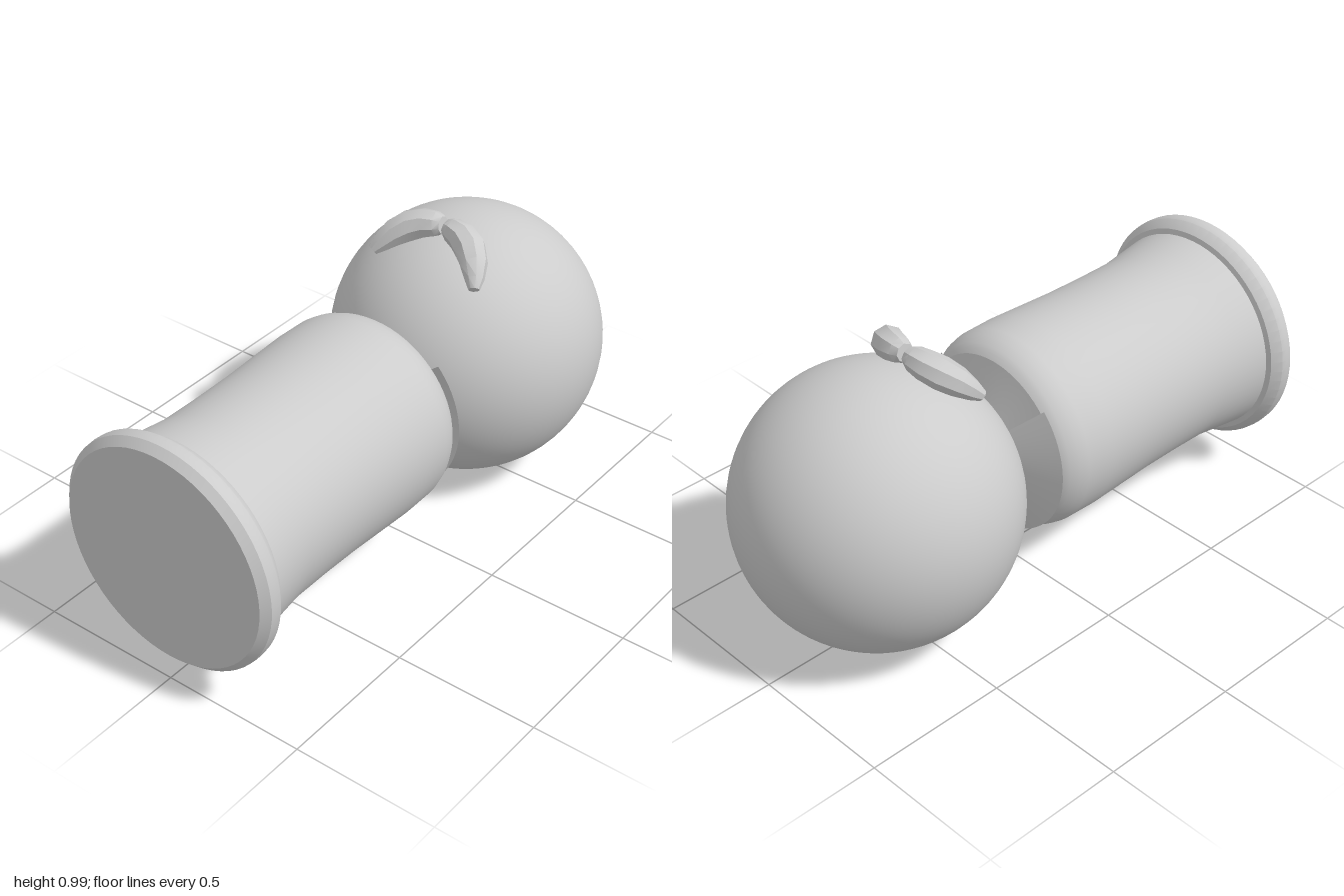
import * as THREE from 'three';
import { toCreasedNormals } from 'three/addons/utils/BufferGeometryUtils.js';

const AXIS_Y = 0.47;

export function createModel() {
  const model = new THREE.Group();
  model.name = 'lyingDoll';
  const grey = new THREE.MeshStandardMaterial({ color: 0xcccccc, side: THREE.DoubleSide });
  grey.name = 'plain grey';

  const add = (name, geometry) => {
    const mesh = new THREE.Mesh(geometry, grey);
    mesh.name = name;
    model.add(mesh);
    return mesh;
  };

  // Turned part along z from [radius, z] pairs; angle 0 is underneath
  const turned = (name, profile, start = 0, sweep = Math.PI * 2) => {
    const points = profile.map(([r, z]) => new THREE.Vector2(r, z));
    const geometry = new THREE.LatheGeometry(points, 64, start, sweep);
    geometry.rotateX(Math.PI / 2);
    geometry.translate(0, AXIS_Y, 0);
    return add(name, toCreasedNormals(geometry, 0.6));
  };

  // Head
  const head = new THREE.SphereGeometry(0.465, 64, 40);
  head.translate(0, AXIS_Y - 0.002, -0.535);
  add('head', head);

  // Neck, body and base rim
  turned('neck', [[0.08, -0.1], [0.11, -0.087], [0.295, -0.037]]);
  turned('body', [
    [0.295, -0.037], [0.31, -0.025], [0.322, -0.01], [0.337, 0.02], [0.345, 0.055],
    [0.347, 0.16], [0.342, 0.28], [0.336, 0.42], [0.334, 0.56], [0.335, 0.72],
    [0.345, 0.8], [0.357, 0.9],
  ]);
  turned('baseRim', [
    [0.357, 0.9], [0.375, 0.905], [0.4, 0.935], [0.402, 0.955], [0.4, 0.975],
    [0.375, 1], [0, 1],
  ]);

  // Collar, open at the top
  turned('collar', [[0.165, -0.1], [0.323, -0.043]], -Math.PI * 0.74, Math.PI * 1.48);

  // Curved, tapering bow lobes
  for (const side of [1, -1]) {
    add(side > 0 ? 'leftBowLobe' : 'rightBowLobe', bowLobe(side));
  }
  return model;
}

// Eight-sided lobe swept through centres with a radius at each section
function bowLobe(side) {
  const sections = [
    [0.008, 0.956, -0.395, 0.03],
    [0.03, 0.953, -0.393, 0.042],
    [0.075, 0.945, -0.385, 0.05],
    [0.12, 0.929, -0.365, 0.054],
    [0.16, 0.902, -0.332, 0.047],
    [0.188, 0.87, -0.298, 0.033],
    [0.203, 0.848, -0.275, 0.019],
  ];
  const sides = 8;
  const centres = sections.map(([x, y, z]) => new THREE.Vector3(x * side, y, z));
  const positions = [];
  const index = [];
  const outward = new THREE.Vector3(0, 0.9, 0.4).normalize();

  centres.forEach((centre, i) => {
    const before = centres[Math.max(i - 1, 0)];
    const after = centres[Math.min(i + 1, centres.length - 1)];
    const tangent = after.clone().sub(before).normalize();
    const u = outward.clone().addScaledVector(tangent, -outward.dot(tangent)).normalize();
    const v = tangent.clone().cross(u);
    for (let j = 0; j < sides; j++) {
      const a = ((j + 0.5) / sides) * Math.PI * 2;
      const p = centre.clone()
        .addScaledVector(u, Math.cos(a) * sections[i][3])
        .addScaledVector(v, Math.sin(a) * sections[i][3]);
      positions.push(p.x, p.y, p.z);
    }
  });

  // Side faces
  for (let i = 0; i < sections.length - 1; i++) {
    for (let j = 0; j < sides; j++) {
      const a = i * sides + j;
      const b = i * sides + ((j + 1) % sides);
      index.push(a, b, a + sides, b, b + sides, a + sides);
    }
  }
  // End caps
  const last = (sections.length - 1) * sides;
  for (let j = 1; j < sides - 1; j++) {
    index.push(0, j + 1, j, last, last + j, last + j + 1);
  }

  const geometry = new THREE.BufferGeometry();
  geometry.setAttribute('position', new THREE.Float32BufferAttribute(positions, 3));
  geometry.setIndex(index);
  return toCreasedNormals(geometry, 0.7);
}
